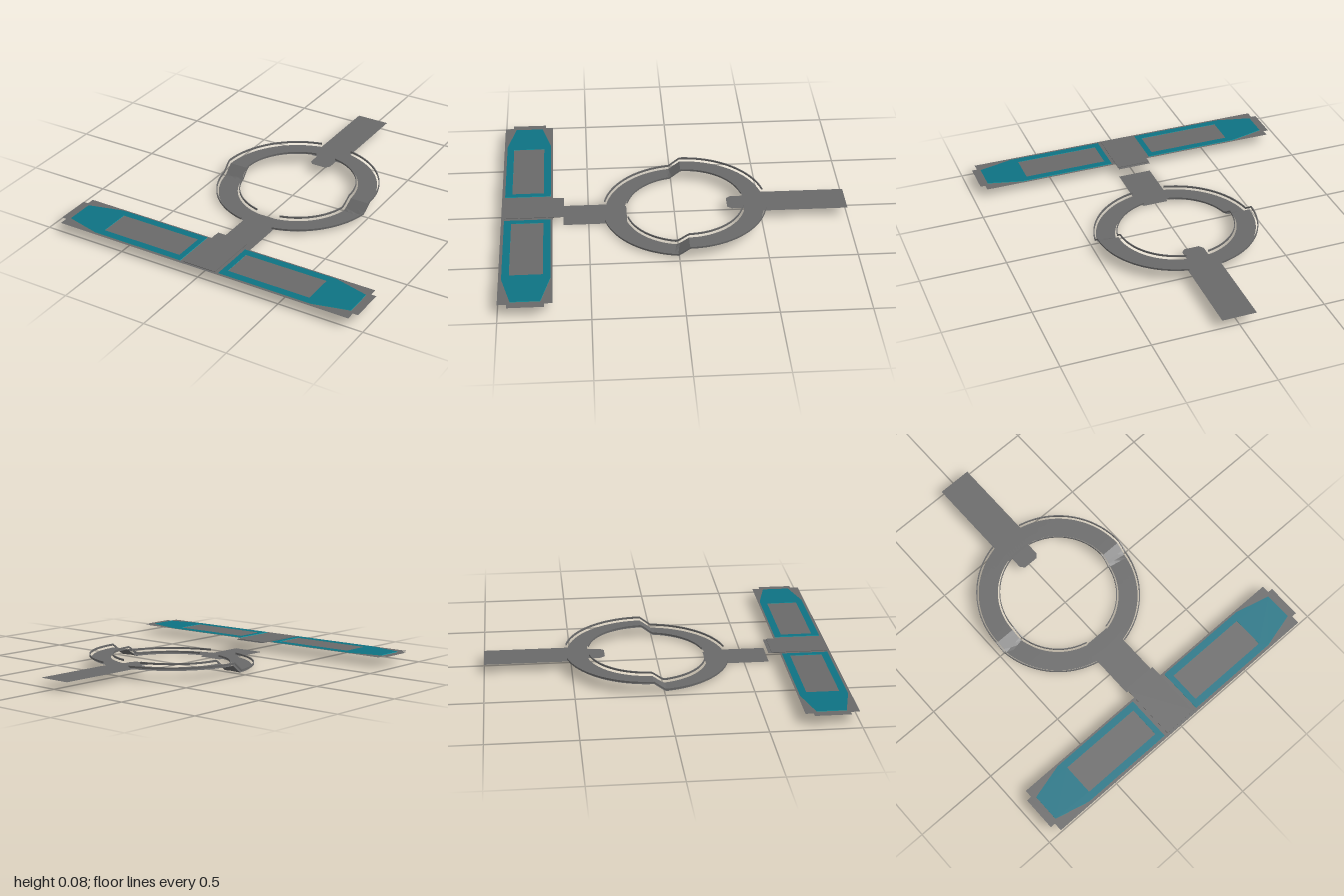
import * as THREE from 'three';

const DS = THREE.DoubleSide;
const grey = new THREE.MeshStandardMaterial({ color: 0x696969, side: DS });
grey.name = 'grey';
const teal = new THREE.MeshStandardMaterial({ color: 0x0d7283, side: DS });
teal.name = 'teal';
const cyan = new THREE.MeshStandardMaterial({ color: 0x1fb5bd, side: DS });
cyan.name = 'cyan edge';

const RING_Z = -0.06; // ring centre
const LOW = 0.007, HIGH = 0.055;

const points = list => list.map(([x, z]) => new THREE.Vector2(x, z));

// Horizontal plate from an outline in (x, z), with optional holes and thickness
function plate(name, outline, holes, y, material, thick = 0) {
  const shape = new THREE.Shape(points(outline));
  for (const h of holes) shape.holes.push(new THREE.Path(points(h)));
  const geo = thick
    ? new THREE.ExtrudeGeometry(shape, { depth: thick, bevelEnabled: false })
    : new THREE.ShapeGeometry(shape);
  geo.rotateX(Math.PI / 2);
  const mesh = new THREE.Mesh(geo, material);
  mesh.name = name;
  mesh.position.y = y;
  return mesh;
}

const rect = (x0, z0, x1, z1) => [[x0, z0], [x1, z0], [x1, z1], [x0, z1]];

// Height of the ring: low in front, ramping up to the back
const ringY = z => THREE.MathUtils.lerp(LOW, HIGH, THREE.MathUtils.clamp((0.005 - z) / 0.065, 0, 1));

// Arc swept from a cross-section of [radius, height above floor] points
function arc(name, section, a0, a1, steps, closed) {
  const pos = [], index = [], n = section.length, m = closed ? n : n - 1;
  for (let i = 0; i <= steps; i++) {
    const a = a0 + (a1 - a0) * i / steps;
    for (const [r, h] of section) {
      const z = RING_Z + r * Math.cos(a);
      pos.push(r * Math.sin(a), ringY(z) + h, z);
    }
  }
  for (let i = 0; i < steps; i++) {
    for (let j = 0; j < m; j++) {
      const a = i * n + j, b = i * n + (j + 1) % n;
      index.push(a, a + n, b, b, a + n, b + n);
    }
  }
  let geo = new THREE.BufferGeometry();
  geo.setAttribute('position', new THREE.Float32BufferAttribute(pos, 3));
  geo.setIndex(index);
  geo = geo.toNonIndexed();
  geo.computeVertexNormals();
  const mesh = new THREE.Mesh(geo, grey);
  mesh.name = name;
  return mesh;
}

export function createModel() {
  const model = new THREE.Group();
  model.name = 'strapRingAndBar';

  // Stepped flat ring
  const radii = [0.352, 0.39, 0.425, 0.463];
  model.add(arc('ringFloor', radii.map(r => [r, 0]), 0, Math.PI * 2, 128, false));

  // Raised rims, open where the strips cross
  const rim = (r0, r1) => [[r0, 0.01], [r1, 0.01], [r1, 0.021], [r0, 0.021]];
  for (const s of [1, -1]) {
    const side = s > 0 ? 'left' : 'right';
    const outer = Math.asin(0.1 / 0.475);
    model.add(arc(side + 'OuterRim', rim(0.471, 0.477), s * outer, s * (Math.PI - outer), 60, true));
    model.add(arc(side + 'InnerRim', rim(0.338, 0.343),
      s * Math.asin(0.075 / 0.34), s * (Math.PI - Math.asin(0.065 / 0.34)), 60, true));
  }

  // Back strip with its chamfered tongue
  model.add(plate('backStrip', [
    [-0.1, -1], [0.1, -1], [0.1, -0.4], [0.065, -0.4], [0.065, -0.33], [0.045, -0.305],
    [-0.045, -0.305], [-0.065, -0.33], [-0.065, -0.4], [-0.1, -0.4],
  ], [], 0.051, grey));

  // Low front strip
  model.add(plate('frontStrip', [
    [-0.075, 0.278], [0.075, 0.278], [0.1, 0.39], [0.1, 0.645], [-0.1, 0.645], [-0.1, 0.39],
  ], [], 0, grey));

  // Cross bar with stepped ends and a centre tab
  const mirror = (list, s) => list.map(([x, z]) => [x * s, z]);
  const panel = [[0.122, 0.717], [0.69, 0.717], [0.895, 0.77], [0.895, 0.932], [0.69, 0.983], [0.122, 0.983]];
  const inset = rect(0.155, 0.758, 0.655, 0.942);
  const half = [
    [0.1, 0.64], [0.1, 0.705], [0.915, 0.705], [0.915, 0.75],
    [0.945, 0.75], [0.945, 0.95], [0.915, 0.95], [0.915, 1],
  ];
  model.add(plate('crossBar', [...half, ...mirror(half, -1).reverse()],
    [panel, mirror(panel, -1)], 0.055, grey));
  model.add(plate('centrePlate', rect(-0.1, 0.66, 0.1, 0.984), [], 0.058, grey, 0.005));

  // Coloured panels framing grey insets
  for (const s of [1, -1]) {
    const side = s > 0 ? 'left' : 'right';
    model.add(plate(side + 'Panel', mirror(panel, s), [mirror(inset, s)], 0.058, [teal, cyan], 0.005));
    model.add(plate(side + 'PanelInset', mirror(inset, s), [], 0.056, grey));
  }
  return model;
}
